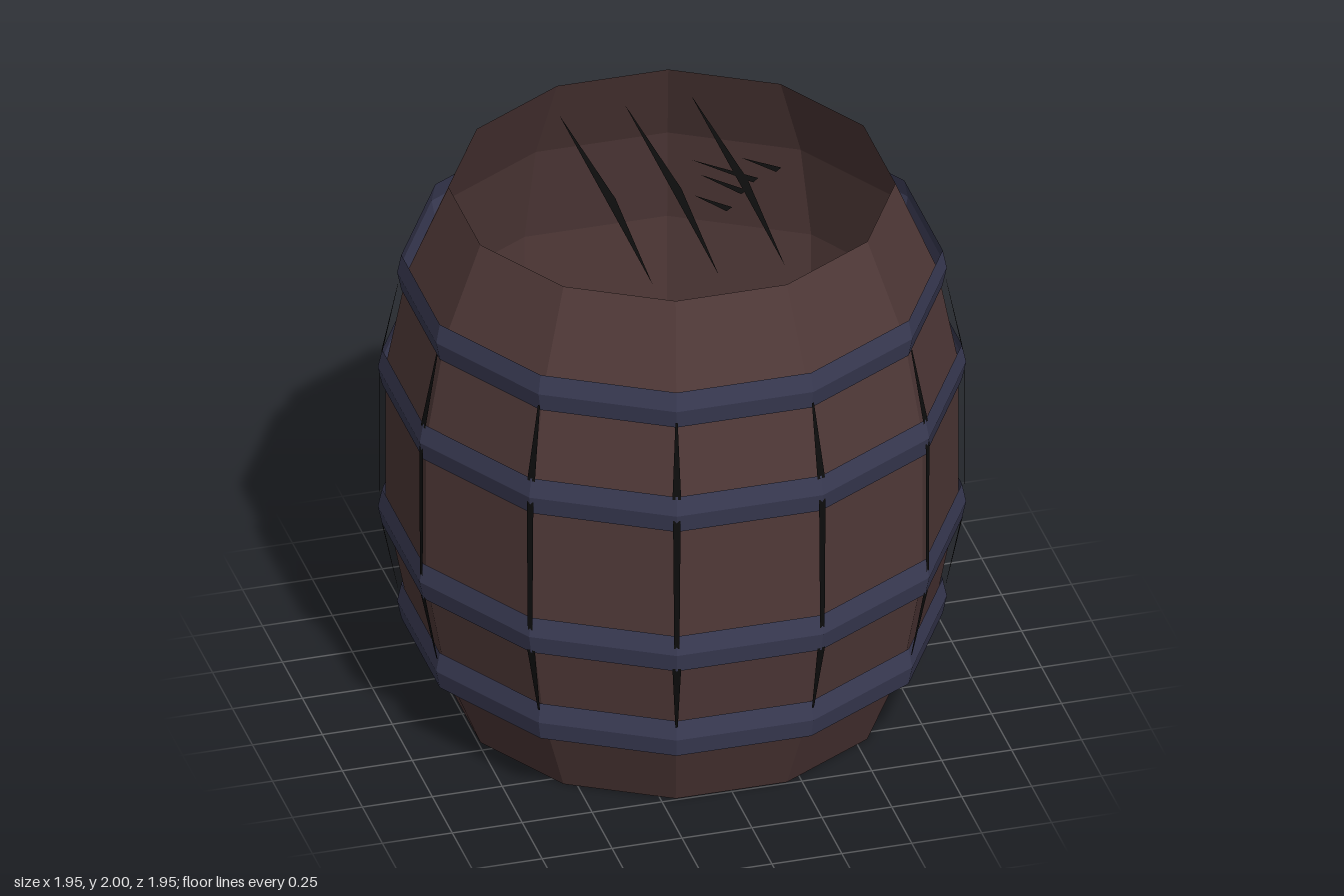
import * as THREE from 'three';

const SIDES = 12;
const STEP = (Math.PI * 2) / SIDES;
const CORNER = 1 / Math.cos(STEP / 2); // flat-to-flat radius -> corner radius

const mat = (name, color) => {
  const m = new THREE.MeshStandardMaterial({ color, side: THREE.DoubleSide });
  m.name = name;
  return m;
};

// Faceted twelve-sided shell from [flat radius, height] pairs, bottom to top
function facetedRing(profile) {
  const pts = profile.map(([r, y]) => new THREE.Vector2(r * CORNER, y));
  const g = new THREE.LatheGeometry(pts, SIDES, STEP / 2).toNonIndexed();
  g.computeVertexNormals();
  return g;
}

// Flat shape from [x, y] corners
function flat(points) {
  return new THREE.ShapeGeometry(new THREE.Shape(points.map(([x, y]) => new THREE.Vector2(x, y))));
}

export function createModel() {
  const wood = mat('dark brown wood', 0x503938);
  const iron = mat('blue grey iron', 0x3a3b54);
  const black = mat('black', 0x0d0d0d);

  const model = new THREE.Group();
  model.name = 'barrel';
  const add = (name, geometry, material, parent = model) => {
    const mesh = new THREE.Mesh(geometry, material);
    mesh.name = name;
    parent.add(mesh);
    return mesh;
  };

  // Open-topped body with a closed bottom
  add('body', facetedRing([
    [0, 0], [0.742, 0], [0.88, 0.34], [0.952, 0.72],
    [0.952, 1.28], [0.88, 1.66], [0.742, 2],
  ]), wood);

  // Loose hoops with a ridge along the middle
  for (const [y, r] of [[0.34, 0.913], [0.72, 0.977], [1.28, 0.977], [1.66, 0.913]]) {
    add('hoop', facetedRing([[r - 0.014, y - 0.07], [r, y], [r - 0.014, y + 0.07]]), iron);
  }

  // Gaps between staves: thin strips on every corner, [radius, height, width] at each end
  const strips = [
    [[1.005, 0.745, 0.018], [1.005, 1.26, 0.026]],
    [[0.998, 1.34, 0.03], [0.942, 1.615, 0.008]],
    [[0.942, 0.39, 0.008], [0.998, 0.66, 0.03]],
  ];
  for (let i = 0; i < SIDES; i++) {
    const seam = new THREE.Group();
    seam.name = 'staveSeam';
    seam.rotation.y = (i + 0.5) * STEP;
    for (const [[r0, y0, w0], [r1, y1, w1]] of strips) {
      const g = flat([[-w0 / 2, y0], [w0 / 2, y0], [w1 / 2, y1], [-w1 / 2, y1]]);
      const p = g.attributes.position;
      for (let k = 0; k < p.count; k++) {
        p.setZ(k, r0 + ((r1 - r0) * (p.getY(k) - y0)) / (y1 - y0));
      }
      g.computeVertexNormals();
      add('seamStrip', g, black, seam);
    }
    model.add(seam);
  }

  // Marks lying across the top opening, drawn in (x, -z)
  const marks = new THREE.Group();
  marks.name = 'topMarks';
  marks.rotation.x = -Math.PI / 2;
  marks.position.y = 1.98;
  model.add(marks);

  // Long plank gaps
  for (const x of [-0.236, 0, 0.236]) {
    add('plankGap', flat([[x, -0.585], [x + 0.034, 0], [x, 0.59]]), black, marks);
  }

  // Small splinters: pointed tip to blunt end, [x, z, x, z]
  for (const [x0, z0, x1, z1] of [
    [0.12, -0.175, 0.295, 0.015], [0.12, -0.075, 0.235, 0.08],
    [0.29, -0.14, 0.39, -0.03], [0.065, 0.055, 0.155, 0.175],
  ]) {
    const len = Math.hypot(x1 - x0, z1 - z0);
    const nx = ((z1 - z0) / len) * 0.017;
    const nz = (-(x1 - x0) / len) * 0.017;
    add('splinter', flat([[x0, -z0], [x1 + nx, -z1 - nz], [x1 - nx, -z1 + nz]]), black, marks);
  }

  return model;
}
